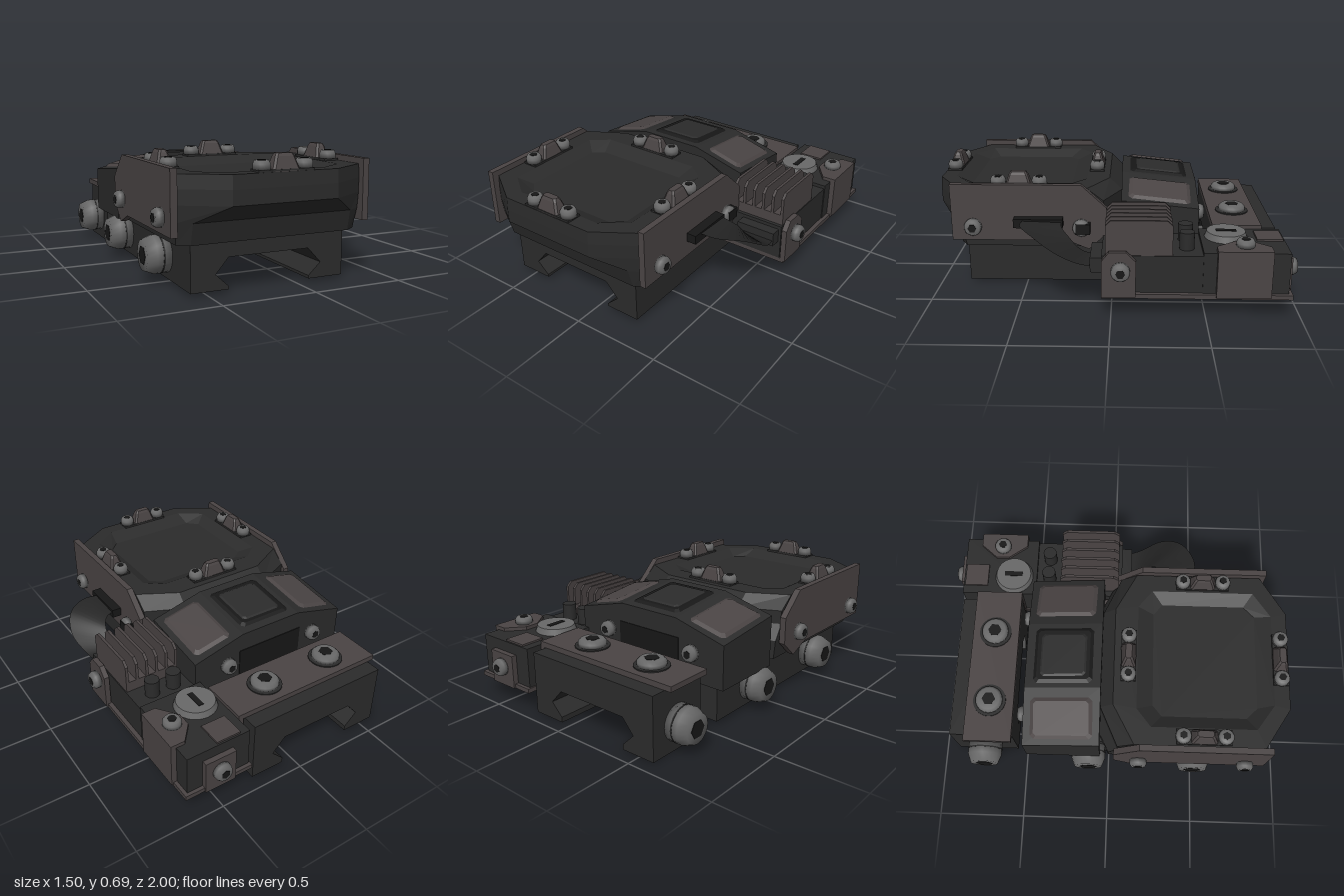
import * as THREE from 'three';

const mat = (name, color, extra = {}) => {
  const m = new THREE.MeshStandardMaterial({ color, ...extra });
  m.name = name;
  return m;
};

export function createModel() {
  const root = new THREE.Group();
  const dark = mat('dark polymer', 0x2b2b2b);
  const brown = mat('brown grey metal', 0x4a4444);
  const steel = mat('steel', 0x686868);
  const black = mat('black', 0x171717);
  const cable = mat('cable black', 0x242424);
  cable.side = THREE.DoubleSide;

  const add = (name, geo, m, parent = root) => {
    const mesh = new THREE.Mesh(geo, m);
    mesh.name = name;
    parent.add(mesh);
    return mesh;
  };
  // box given by its limits on each axis
  const box = (name, m, x0, x1, y0, y1, z0, z1) => add(name,
    new THREE.BoxGeometry(x1 - x0, y1 - y0, z1 - z0).translate((x0 + x1) / 2, (y0 + y1) / 2, (z0 + z1) / 2), m);
  const extrude = (pts, depth) => new THREE.ExtrudeGeometry(
    new THREE.Shape(pts.map(p => new THREE.Vector2(...p))), { depth, bevelEnabled: false });
  // profile in x,y swept from z0 to z1
  const alongZ = (name, m, pts, z0, z1) => add(name, extrude(pts, z1 - z0).translate(0, 0, z0), m);
  // profile in z,y swept from x0 to x1
  const alongX = (name, m, pts, x0, x1) => add(name, extrude(pts, x1 - x0).rotateY(-Math.PI / 2).translate(x1, 0, 0), m);

  // rings of equal length, closed at both ends, flat faces
  const loft = rings => {
    const pos = [], n = rings[0].length;
    const tri = (...ps) => ps.forEach(p => pos.push(...p));
    for (let k = 0; k + 1 < rings.length; k++) for (let i = 0; i < n; i++) {
      const j = (i + 1) % n, a = rings[k], b = rings[k + 1];
      tri(a[i], a[j], b[j]);
      tri(a[i], b[j], b[i]);
    }
    const lo = rings[0], hi = rings[rings.length - 1];
    for (let i = 1; i + 1 < n; i++) {
      tri(lo[0], lo[i + 1], lo[i]);
      tri(hi[0], hi[i], hi[i + 1]);
    }
    const g = new THREE.BufferGeometry();
    g.setAttribute('position', new THREE.Float32BufferAttribute(pos, 3));
    g.computeVertexNormals();
    return g;
  };
  const octagon = (y, x0, x1, z0, z1, fx, fz, bx, bz) => [
    [x0, z0 + bz], [x0, z1 - fz], [x0 + fx, z1], [x1 - fx, z1],
    [x1, z1 - fz], [x1, z0 + bz], [x1 - bx, z0], [x0 + bx, z0]].map(([x, z]) => [x, y, z]);

  // socket-head screw whose head points along dir
  const screw = (parent, x, y, z, dir, r = 0.045, h = 0.04) => {
    const g = new THREE.Group();
    g.name = 'screw';
    add('screwHead', new THREE.LatheGeometry([[0, 0], [r, 0], [r, h * 0.6], [r * 0.8, h], [0, h]]
      .map(p => new THREE.Vector2(...p)), 20), steel, g);
    add('hexSocket', new THREE.CylinderGeometry(r * 0.5, r * 0.5, 0.004, 6).translate(0, h, 0), black, g);
    g.position.set(x, y, z);
    g.quaternion.setFromUnitVectors(new THREE.Vector3(0, 1, 0), new THREE.Vector3(...dir));
    parent.add(g);
  };
  const LEFT = [1, 0, 0], RIGHT = [-1, 0, 0], UP = [0, 1, 0], BACK = [0, 0, -1];

  // rail clamps with dovetail slot
  const clamp = (y0, y1) => [[-0.59, y0], [-0.39, y0], [-0.39, 0.03 + y0 * 0.3], [-0.46, 0.1], [-0.39, 0.18],
    [0.055, 0.18], [0.13, 0.1], [0.06, 0.03 + y0 * 0.3], [0.06, y0], [0.26, y0], [0.26, y1], [-0.59, y1]];
  alongZ('mainRailClamp', dark, clamp(0.02, 0.27), -0.42, 0.83);
  alongZ('rearRailClamp', dark, clamp(0, 0.35), -0.92, -0.56);

  // main body with undercut nose and dished top
  add('mainBody', loft([
    octagon(0.26, -0.66, 0.33, -0.05, 0.86, 0.06, 0.04, 0.1, 0.05),
    octagon(0.37, -0.67, 0.335, -0.05, 0.89, 0.07, 0.04, 0.1, 0.05),
    octagon(0.455, -0.67, 0.335, -0.05, 1, 0.22, 0.14, 0.22, 0.1),
    octagon(0.53, -0.67, 0.335, -0.05, 1, 0.22, 0.14, 0.22, 0.1),
    octagon(0.6, -0.67, 0.335, 0.02, 0.995, 0.22, 0.14, 0.22, 0.12),
    octagon(0.6, -0.57, 0.235, 0.15, 0.91, 0.14, 0.1, 0.1, 0.08),
    octagon(0.56, -0.5, 0.165, 0.24, 0.82, 0.06, 0.06, 0.06, 0.05),
  ]), dark);

  // side plates and their screws
  const plate = [[0.89, 0.31], [0.89, 0.63], [0.17, 0.63], [0.03, 0.5], [0.03, 0.35], [0.13, 0.26], [0.25, 0.31]];
  for (const [name, x, s] of [['leftSidePlate', 0.34, 1], ['rightSidePlate', -0.71, -1]]) {
    alongX(name, brown, plate, x, x + 0.035);
    for (const z of [0.17, 0.77]) screw(root, s > 0 ? 0.375 : -0.71, 0.39, z, s > 0 ? LEFT : RIGHT, 0.048, 0.042);
  }

  // rim clips: ridge between two screws
  for (const [x, z, turn] of [[-0.165, 0.1, 0], [-0.165, 0.95, 0], [-0.62, 0.52, 1], [0.29, 0.52, 1]]) {
    const g = new THREE.Group();
    g.name = 'rimClip';
    add('clipFoot', new THREE.BoxGeometry(0.3, 0.012, 0.085).translate(0, 0.005, 0), dark, g);
    add('clipRidge', loft([octagon(0, -0.075, 0.075, -0.043, 0.043, 0.01, 0.01, 0.01, 0.01),
      octagon(0.07, -0.052, 0.052, -0.025, 0.025, 0.01, 0.01, 0.01, 0.01),
      octagon(0.085, -0.043, 0.043, -0.018, 0.018, 0.01, 0.01, 0.01, 0.01)]), brown, g);
    for (const s of [-1, 1]) screw(g, s * 0.115, 0.01, 0, UP, 0.043, 0.045);
    g.position.set(x, 0.6, z);
    g.rotation.y = turn * Math.PI / 2;
    root.add(g);
  }

  // rear housing: raised middle, falling to both sides and towards the back
  const housing = extrude([[-0.67, 0.24], [0.33, 0.24], [0.33, 0.53], [0.02, 0.61], [-0.36, 0.61], [-0.67, 0.53]], 0.43)
    .translate(0, 0, -0.48);
  const hp = housing.attributes.position;
  for (let i = 0; i < hp.count; i++)
    if (hp.getY(i) > 0.5 && hp.getZ(i) < -0.3) hp.setY(i, hp.getY(i) - 0.045);
  housing.computeVertexNormals();
  add('rearHousing', housing, dark);
  const tilt = Math.atan(0.045 / 0.43);
  const topPlate = (name, m, x, y, w, l, roll) => {
    const p = add(name, loft([octagon(0, -w / 2, w / 2, -l / 2, l / 2, 0.02, 0.02, 0.02, 0.02),
      octagon(0.012, -w / 2 + 0.02, w / 2 - 0.02, -l / 2 + 0.02, l / 2 - 0.02, 0.015, 0.015, 0.015, 0.015)]), m);
    p.position.set(x, y, -0.265);
    p.rotation.set(-tilt, 0, roll);
  };
  topPlate('rightPad', brown, -0.525, 0.546, 0.23, 0.35, 0.25);
  topPlate('leftPad', brown, 0.185, 0.546, 0.23, 0.35, -0.25);
  topPlate('windowFrame', black, -0.17, 0.586, 0.33, 0.34, 0);
  topPlate('windowPane', dark, -0.17, 0.592, 0.27, 0.28, 0);
  box('rearRecess', black, -0.38, 0.04, 0.3, 0.46, -0.484, -0.479);
  for (const x of [-0.47, 0.12]) screw(root, x, 0.4, -0.48, BACK, 0.045, 0.045);

  // thumb screws on the clamp side
  for (const z of [-0.74, -0.12, 0.5]) {
    screw(root, -0.59, 0.15, z, RIGHT, 0.1, 0.125);
    const groove = add('knobGroove', new THREE.CylinderGeometry(0.102, 0.102, 0.008, 20).rotateZ(Math.PI / 2), dark);
    groove.position.set(-0.63, 0.15, z);
  }

  // rear plate over the clamp
  box('rearTopPlate', brown, -0.63, 0.3, 0.35, 0.38, -0.835, -0.56);
  for (const x of [-0.39, 0.035]) {
    const w = add('washer', new THREE.CylinderGeometry(0.095, 0.095, 0.008, 28), dark);
    w.position.set(x, 0.382, -0.7);
    screw(root, x, 0.384, -0.7, UP, 0.078, 0.038);
  }

  // bracket carrying the side pod
  box('bracketFloor', brown, 0.29, 0.69, 0.11, 0.135, -0.95, 0.05);
  alongX('bracketFrontTab', brown, [[0.05, 0.12], [0.05, 0.32], [0.01, 0.37], [-0.08, 0.37], [-0.13, 0.32], [-0.13, 0.12]], 0.67, 0.7);
  box('bracketRearWall', brown, 0.67, 0.7, 0.12, 0.38, -0.835, -0.55);
  box('bracketInnerWall', brown, 0.27, 0.3, 0.12, 0.31, -0.13, 0.05);
  box('bracketRearInnerWall', brown, 0.27, 0.3, 0.12, 0.38, -0.835, -0.56);
  box('bracketBackTab', brown, 0.4, 0.58, 0.11, 0.3, -0.96, -0.93);
  const corner = extrude([[0.7, 0.835], [0.62, 0.835], [0.54, 0.74], [0.54, 0.66], [0.62, 0.55], [0.7, 0.55]], 0.025)
    .rotateX(-Math.PI / 2).translate(0, 0.355, 0);
  add('bracketCornerPlate', corner, brown);
  screw(root, 0.61, 0.38, -0.7, UP, 0.05, 0.038);
  screw(root, 0.7, 0.27, -0.05, LEFT, 0.05, 0.045);
  screw(root, 0.49, 0.22, -0.955, BACK, 0.05, 0.045);

  // side pod
  box('podFront', dark, 0.31, 0.665, 0.135, 0.34, -0.5, 0.05);
  box('podNose', dark, 0.42, 0.65, 0.24, 0.32, 0.05, 0.11);
  box('podRear', dark, 0.3, 0.67, 0.135, 0.36, -0.93, -0.48);
  box('podRearPad', brown, 0.35, 0.49, 0.36, 0.37, -0.92, -0.78);
  for (const x of [0.42, 0.55])
    add('button', new THREE.CylinderGeometry(0.04, 0.04, 0.1, 20).translate(x, 0.385, -0.4), dark);
  add('adjusterDisc', new THREE.CylinderGeometry(0.105, 0.118, 0.04, 32).translate(0.42, 0.375, -0.62), steel);
  add('adjusterSlot', new THREE.BoxGeometry(0.03, 0.006, 0.11).translate(0.42, 0.395, -0.62), black);

  // heat sink
  box('heatSinkBase', brown, 0.345, 0.66, 0.34, 0.4, -0.32, 0.03);
  const fin = [[0.03, 0.39], [0.03, 0.5], [0, 0.53], [-0.29, 0.53], [-0.32, 0.5], [-0.32, 0.39]];
  for (let i = 0; i < 6; i++) alongX('heatSinkFin', brown, fin, 0.344 + i * 0.06, 0.36 + i * 0.06);

  // flat cable bending from the body down to the pod
  box('cableConnector', black, 0.375, 0.43, 0.4, 0.45, 0.27, 0.54);
  box('cableSocket', black, 0.375, 0.42, 0.36, 0.42, 0.12, 0.2);
  const curve = pts => new THREE.CatmullRomCurve3(pts.map(p => new THREE.Vector3(...p)));
  const outer = curve([[0.41, 0.44, 0.49], [0.52, 0.445, 0.49], [0.64, 0.43, 0.41], [0.69, 0.36, 0.29], [0.66, 0.29, 0.17], [0.64, 0.27, 0.09]]);
  const inner = curve([[0.41, 0.44, 0.28], [0.47, 0.42, 0.27], [0.5, 0.38, 0.23], [0.5, 0.32, 0.18], [0.47, 0.28, 0.13], [0.45, 0.27, 0.09]]);
  const ribbon = new THREE.PlaneGeometry(1, 1, 24, 1);
  const rp = ribbon.attributes.position;
  for (let i = 0; i < rp.count; i++) {
    const p = (rp.getY(i) > 0 ? inner : outer).getPoint(rp.getX(i) + 0.5);
    rp.setXYZ(i, p.x, p.y, p.z);
  }
  ribbon.computeVertexNormals();
  add('flatCable', ribbon, cable);

  return root;
}
